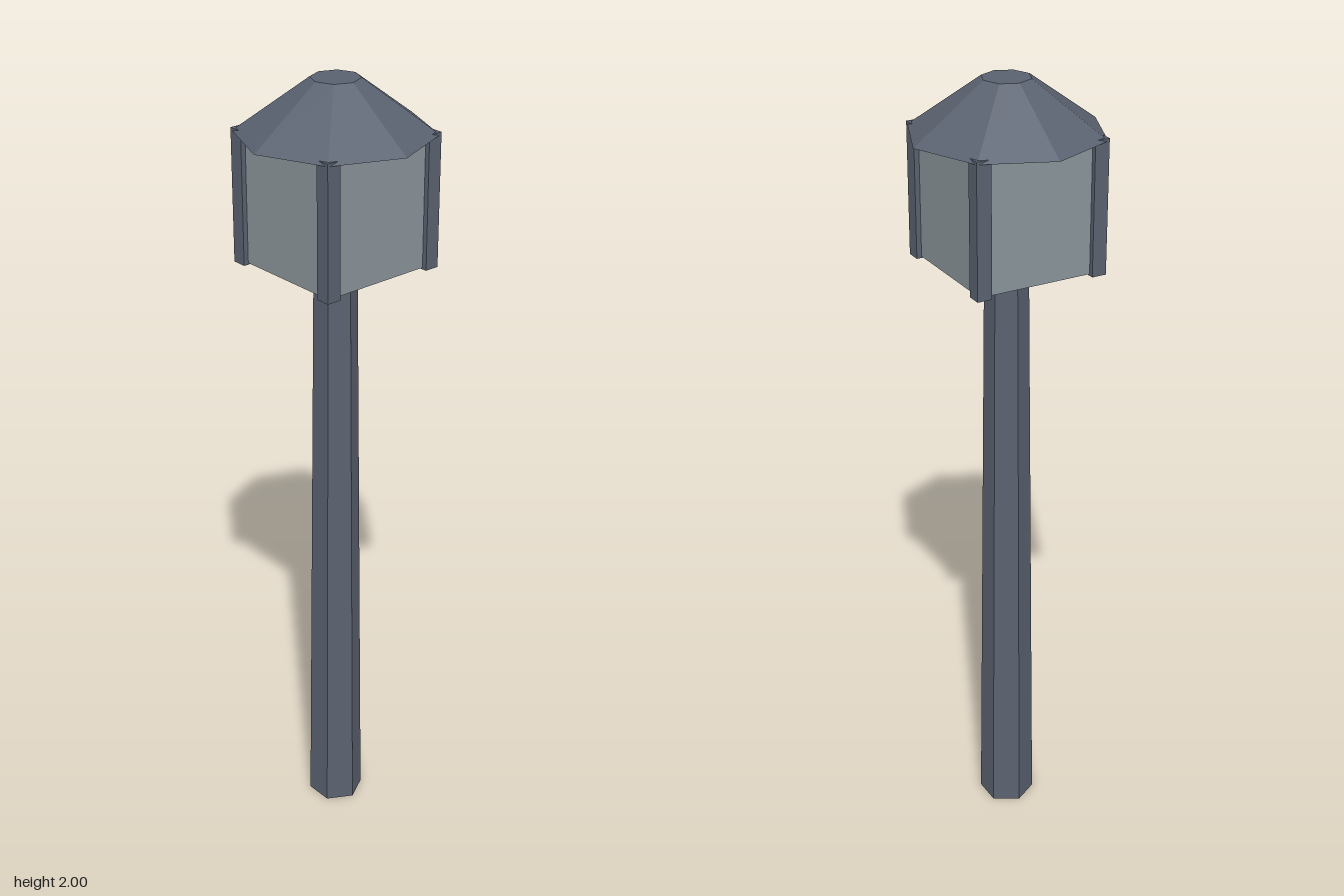
import * as THREE from 'three';

export function createModel() {
  const group = new THREE.Group();
  const frame = new THREE.MeshStandardMaterial({ color: 0x5a6270, flatShading: true });
  const glass = new THREE.MeshStandardMaterial({ color: 0x8a9499, flatShading: true });

  const add = (name, geometry, material, x, y, z) => {
    const mesh = new THREE.Mesh(geometry, material);
    mesh.name = name;
    mesh.position.set(x, y, z);
    group.add(mesh);
    return mesh;
  };

  // Tapered hexagonal pole, corners pointing left and right
  const poleHeight = 1.56;
  const pole = add('pole', new THREE.CylinderGeometry(0.053, 0.071, poleHeight, 6), frame, 0, poleHeight / 2, 0);
  pole.rotation.y = Math.PI / 2;

  // Lantern body
  const bodyBottom = 1.556, roofBottom = 1.872;
  add('lanternGlass', new THREE.BoxGeometry(0.314, roofBottom - bodyBottom, 0.314), glass,
    0, (bodyBottom + roofBottom) / 2, 0);

  // Corner posts, standing slightly proud of the glass and poking into the roof
  const postBottom = 1.552, postTop = 1.879, postWidth = 0.037, postCentre = 0.151;
  const postGeometry = new THREE.BoxGeometry(postWidth, postTop - postBottom, postWidth);
  for (const sx of [-1, 1]) {
    for (const sz of [-1, 1]) {
      add('cornerPost', postGeometry, frame, sx * postCentre, (postBottom + postTop) / 2, sz * postCentre);
    }
  }

  // Eight-sided roof with a flat top
  const roofHeight = 2 - roofBottom;
  add('roof', new THREE.CylinderGeometry(0.059, 0.237, roofHeight, 8), frame, 0, roofBottom + roofHeight / 2, 0);

  return group;
}
